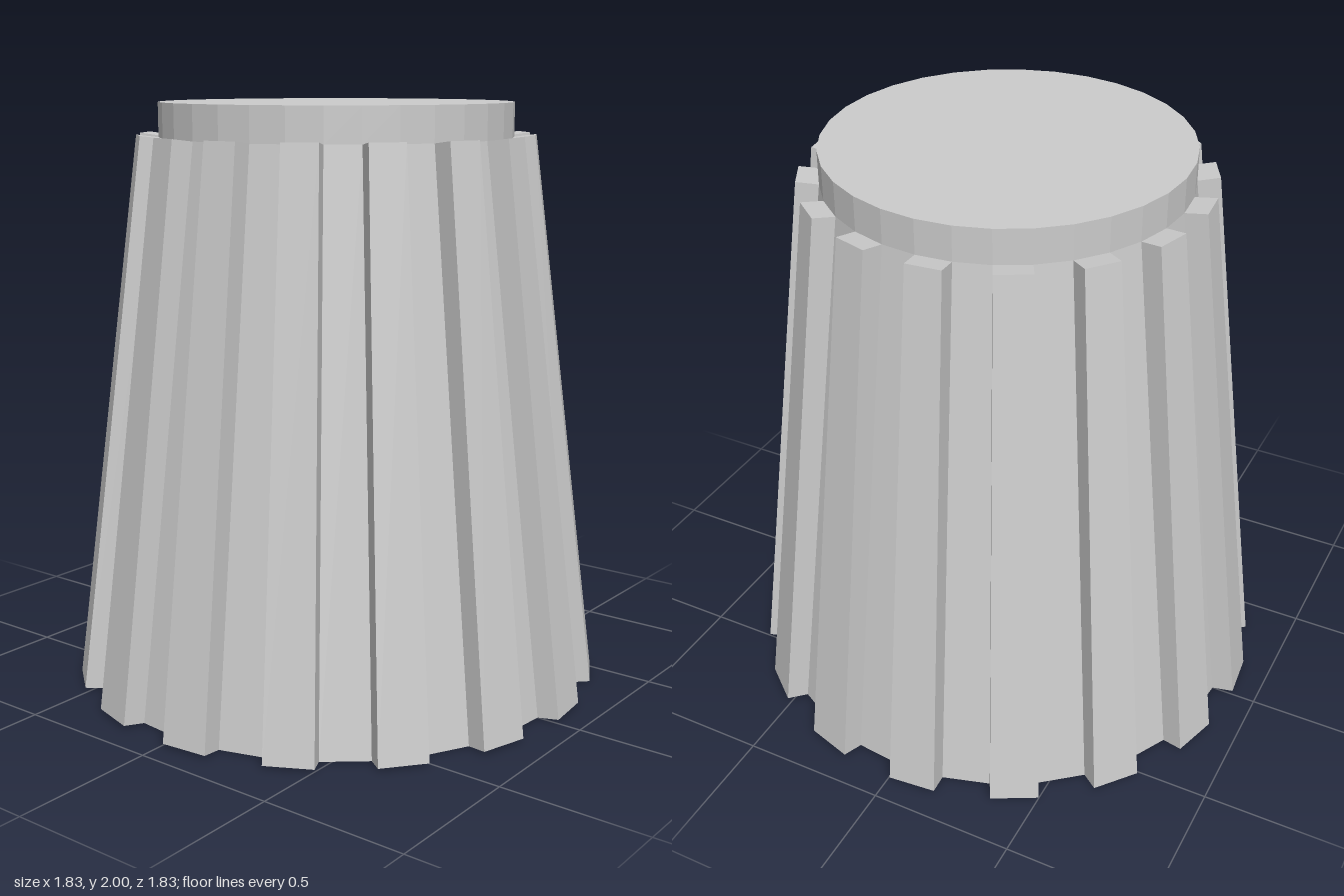
import * as THREE from 'three';

const SIDES = 32;
const STEP = (Math.PI * 2) / SIDES;
const BOTTOM_R = 0.842, TOP_R = 0.6;
const SHOULDER_Y = 1.884, TOTAL_H = 2;
const RIB_DEPTH = 0.075;

// Box fitted to one facet of the tapered body and raised along its normal
function ribGeometry() {
  const apothem = Math.cos(STEP / 2), halfSide = Math.sin(STEP / 2);
  const tilt = Math.atan(((BOTTOM_R - TOP_R) * apothem) / SHOULDER_Y);
  const geo = new THREE.BoxGeometry(1, 1, 1);
  const pos = geo.attributes.position;
  for (let i = 0; i < pos.count; i++) {
    const upper = pos.getY(i) > 0;
    const r = upper ? TOP_R : BOTTOM_R;
    const out = pos.getZ(i) > 0 ? RIB_DEPTH : 0;
    pos.setXYZ(
      i,
      Math.sign(pos.getX(i)) * r * halfSide,
      (upper ? SHOULDER_Y : 0) + out * Math.sin(tilt),
      r * apothem + out * Math.cos(tilt)
    );
  }
  geo.computeVertexNormals();
  return geo;
}

export function createModel() {
  const model = new THREE.Group();
  model.name = 'ribbedKnob';
  const material = new THREE.MeshStandardMaterial({ color: 0xcccccc, flatShading: true });

  const add = (name, geometry, parent = model) => {
    const mesh = new THREE.Mesh(geometry, material);
    mesh.name = name;
    parent.add(mesh);
    return mesh;
  };

  // Tapered body
  add('body', new THREE.CylinderGeometry(TOP_R, BOTTOM_R, SHOULDER_Y, SIDES))
    .position.y = SHOULDER_Y / 2;

  // Straight cap above the ribs
  const capH = TOTAL_H - SHOULDER_Y;
  add('cap', new THREE.CylinderGeometry(TOP_R, TOP_R, capH, SIDES))
    .position.y = SHOULDER_Y + capH / 2;

  // Grip ribs on every second facet
  const ribs = new THREE.Group();
  ribs.name = 'gripRibs';
  model.add(ribs);
  const rib = ribGeometry();
  for (let i = 0; i < SIDES; i += 2) {
    add('gripRib', rib, ribs).rotation.y = (i + 0.5) * STEP;
  }

  return model;
}
